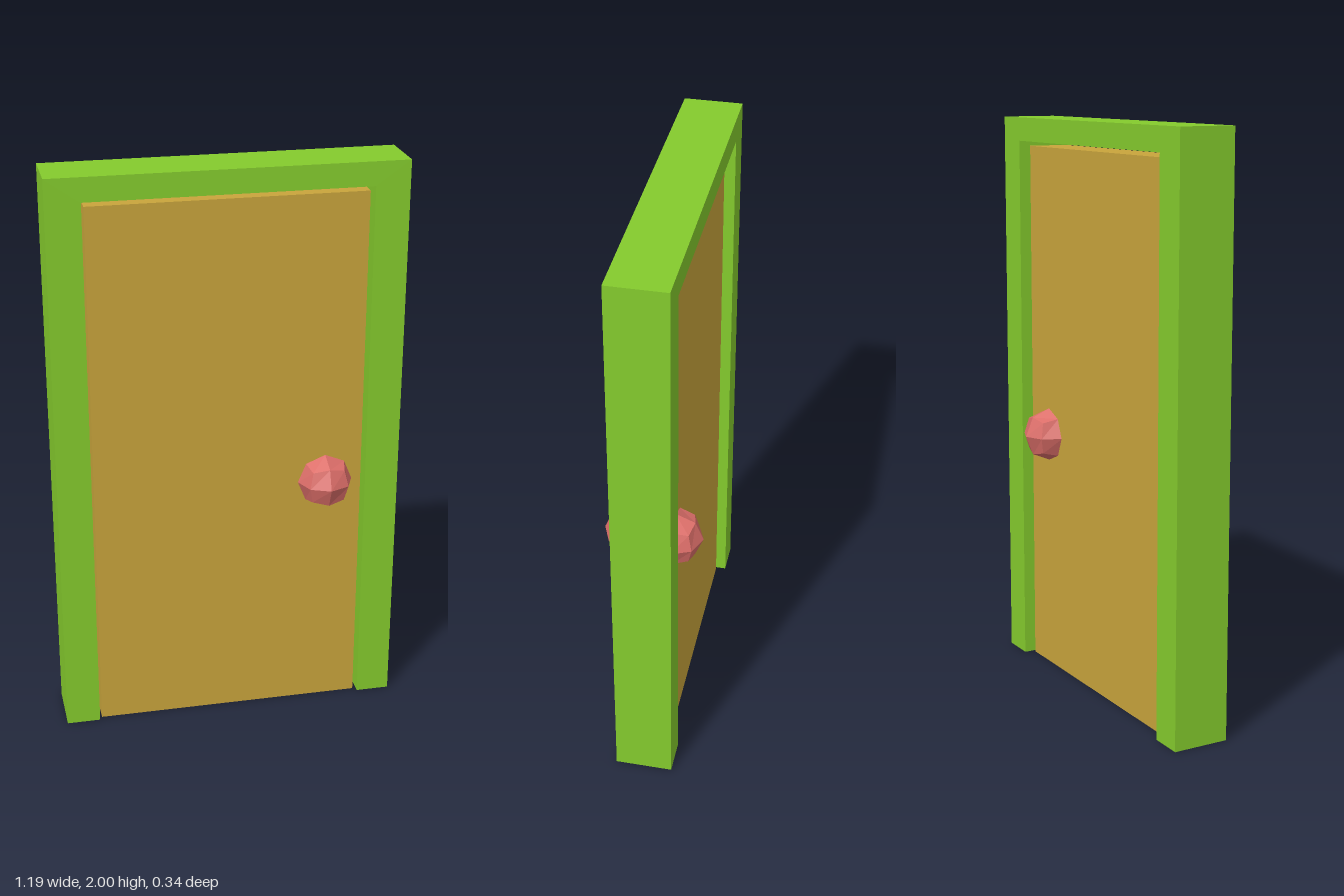
import * as THREE from 'three';

const frameGreen = new THREE.MeshStandardMaterial({ name: 'frame green', color: 0x84cb2d });
const doorTan = new THREE.MeshStandardMaterial({ name: 'door tan', color: 0xc8a43c });
const knobRed = new THREE.MeshStandardMaterial({ name: 'knob red', color: 0xdc6e69 });
knobRed.flatShading = true;

// U-shaped frame outline, open at the floor, extruded through its depth
function makeFrame() {
  const outline = new THREE.Shape([
    [-0.597, 0], [-0.48, 0], [-0.48, 1.918], [0.48, 1.918],
    [0.48, 0], [0.597, 0], [0.597, 2], [-0.597, 2],
  ].map(([x, y]) => new THREE.Vector2(x, y)));
  const geometry = new THREE.ExtrudeGeometry(outline, { depth: 0.198, bevelEnabled: false });
  geometry.translate(0, 0, -0.111);
  const frame = new THREE.Mesh(geometry, frameGreen);
  frame.name = 'doorFrame';
  return frame;
}

// Door panel, slightly recessed with a thin gap to the frame
function makePanel() {
  const panel = new THREE.Mesh(new THREE.BoxGeometry(0.938, 1.9, 0.146), doorTan);
  panel.position.set(-0.002, 0.95, -0.002);
  panel.name = 'doorPanel';
  return panel;
}

// Faceted ball: a cube with 2 x 2 quads per face, pushed out to a sphere
function makeKnobGeometry(radius) {
  const geometry = new THREE.BoxGeometry(1, 1, 1, 2, 2, 2);
  const position = geometry.attributes.position;
  const v = new THREE.Vector3();
  for (let i = 0; i < position.count; i++) {
    v.fromBufferAttribute(position, i).setLength(radius);
    position.setXYZ(i, v.x, v.y, v.z);
  }
  geometry.computeVertexNormals();
  return geometry;
}

export function createModel() {
  const model = new THREE.Group();
  model.name = 'door';
  model.add(makeFrame(), makePanel());

  // One knob on each side of the door
  const knobGeometry = makeKnobGeometry(0.096);
  for (const [name, z] of [['frontKnob', 0.072], ['backKnob', -0.073]]) {
    const knob = new THREE.Mesh(knobGeometry, knobRed);
    knob.position.set(0.338, 0.872, z);
    knob.name = name;
    model.add(knob);
  }
  return model;
}
